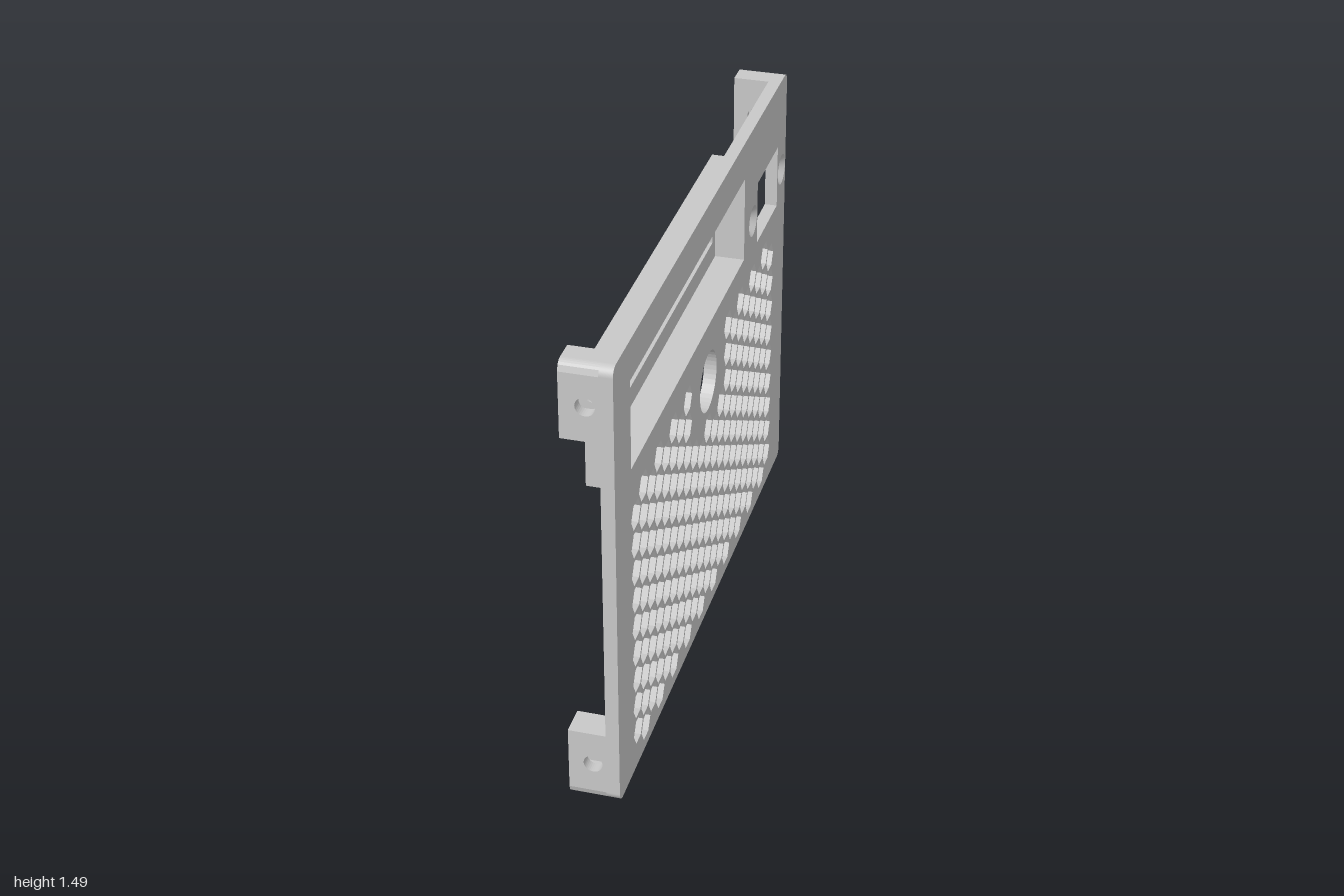
import * as THREE from 'three';

const H = 1.488, BACK = 0.037, FRONT = 0.078, R = 0.03;

// Outlines are drawn in (z, y); u = -z so that the extrusion runs along +x
function rect(z0, z1, y0, y1, Type = THREE.Path) {
  return new Type([
    new THREE.Vector2(-z1, y0), new THREE.Vector2(-z0, y0),
    new THREE.Vector2(-z0, y1), new THREE.Vector2(-z1, y1),
  ]);
}

function circle(x, y, r) {
  return new THREE.Path().absarc(x, y, r, 0, Math.PI * 2, true);
}

function hexagon(z, y, r) {
  const points = [];
  for (let k = 0; k < 6; k++) {
    const a = -k * Math.PI / 3;
    points.push(new THREE.Vector2(-z + r * Math.cos(a), y + r * Math.sin(a)));
  }
  return new THREE.Path(points);
}

// Extrude a (z, y) outline from x0 to x1
function slab(shape, x0, x1) {
  const g = new THREE.ExtrudeGeometry(shape, { depth: x1 - x0, bevelEnabled: false, curveSegments: 20 });
  return g.rotateY(Math.PI / 2).translate(x0, 0, 0);
}

// One layer of a corner bracket: an (x, y) outline extruded along z, rounded at the plate's corner
function bracketLayer(points, hole, z0, z1, side, top) {
  const flip = y => (top ? H - y : y);
  const outline = points.map(([x, y]) => new THREE.Vector2(x, flip(y)));
  if (top) outline.reverse(); // keeps the outline counter-clockwise
  const shape = new THREE.Shape(outline);
  if (hole) shape.holes.push(circle(-0.003, flip(0.13), 0.029));
  const g = new THREE.ExtrudeGeometry(shape, { depth: z1 - z0, steps: 6, bevelEnabled: false, curveSegments: 16 });
  g.translate(0, 0, side > 0 ? z0 : -z1);
  const p = g.attributes.position;
  for (let i = 0; i < p.count; i++) {
    const dz = Math.min(R, Math.abs(p.getZ(i)) - (1 - R));
    if (dz > 0 && Math.abs(p.getY(i) - flip(0)) < 1e-4) {
      p.setY(i, flip(R - Math.sqrt(Math.max(0, R * R - dz * dz))));
    }
  }
  g.computeVertexNormals();
  return g;
}

export function createModel() {
  const model = new THREE.Group();
  model.name = 'ventilatedPanel';
  const grey = new THREE.MeshStandardMaterial({ color: 0xc8c8c8 });
  grey.name = 'grey';
  const add = (name, geometry, parent = model) => {
    const mesh = new THREE.Mesh(geometry, grey);
    mesh.name = name;
    parent.add(mesh);
  };

  // Main plate with rounded corners
  const plate = new THREE.Shape();
  plate.absarc(1 - R, R, R, -Math.PI / 2, 0);
  plate.absarc(1 - R, H - R, R, 0, Math.PI / 2);
  plate.absarc(-1 + R, H - R, R, Math.PI / 2, Math.PI);
  plate.absarc(-1 + R, R, R, Math.PI, Math.PI * 1.5);
  plate.closePath();

  // Display pocket, square socket, round hole and screw holes
  const pocket = [-0.44, 0.842, 1.075, 1.362];
  plate.holes.push(rect(...pocket));
  plate.holes.push(rect(-0.887, -0.612, 1.05, 1.265));
  plate.holes.push(circle(0, 0.875, 0.1));
  const screws = [-0.555, -0.946], screwY = 1.157, screwR = 0.052;
  for (const z of screws) plate.holes.push(circle(-z, screwY, screwR));

  // Honeycomb vents, left solid around the round hole
  for (let i = -10; i <= 10; i++) {
    const odd = Math.abs(i) % 2;
    for (let k = 0; k < 9 + odd; k++) {
      const y = (odd ? 0.079 : 0.127) + 0.0963 * k;
      if (Math.abs(i) <= 2 && y > 0.73) continue;
      plate.holes.push(hexagon(i * 0.0801, y, 0.0478));
    }
  }
  add('plate', slab(plate, BACK, FRONT));

  // Countersunk linings of the screw holes: cone, bore and back ring
  const profile = [
    new THREE.Vector2(screwR, FRONT), new THREE.Vector2(0.03, 0.054),
    new THREE.Vector2(0.03, BACK), new THREE.Vector2(screwR, BACK),
  ];
  for (const z of screws) {
    const group = new THREE.Group();
    group.name = 'countersink';
    for (let k = 0; k < 3; k++) {
      const g = new THREE.LatheGeometry([profile[k], profile[k + 1]], 40);
      add('countersinkFace', g.rotateZ(-Math.PI / 2).translate(0, screwY, z), group);
    }
    model.add(group);
  }

  // Display housing: a wall around the pocket and a floor with a viewing slot
  const housing = [-0.487, 0.885, 1.027, 1.41];
  const wall = rect(...housing, THREE.Shape);
  wall.holes.push(rect(...pocket));
  add('displayWall', slab(wall, -0.018, BACK));
  const floor = rect(...housing, THREE.Shape);
  floor.holes.push(rect(-0.406, 0.634, 1.14, 1.267));
  add('displayFloor', slab(floor, -0.042, -0.018));

  // Corner brackets: bolt hole along z and a nut slot open to the back
  const X = -0.078, T = 0.24;
  const full = [[X, 0], [BACK, 0], [BACK, T], [X, T]];
  const slotted = [[X, 0], [BACK, 0], [BACK, T], [X, T], [X, 0.18], [0.03, 0.18], [0.03, 0.08], [X, 0.08]];
  const notched = [[X, 0], [-0.05, 0], [-0.05, 0.05], [BACK, 0.05], [BACK, T], [X, T]];
  for (const side of [-1, 1]) {
    for (const top of [false, true]) {
      const bracket = new THREE.Group();
      bracket.name = top ? 'upperBracket' : 'lowerBracket';
      add('bracketOuter', bracketLayer(full, true, 0.963, 1, side, top), bracket);
      add('bracketSlot', bracketLayer(slotted, false, 0.926, 0.963, side, top), bracket);
      add('bracketInner', bracketLayer(top ? full : notched, true, 0.906, 0.926, side, top), bracket);
      model.add(bracket);
    }
  }
  return model;
}
